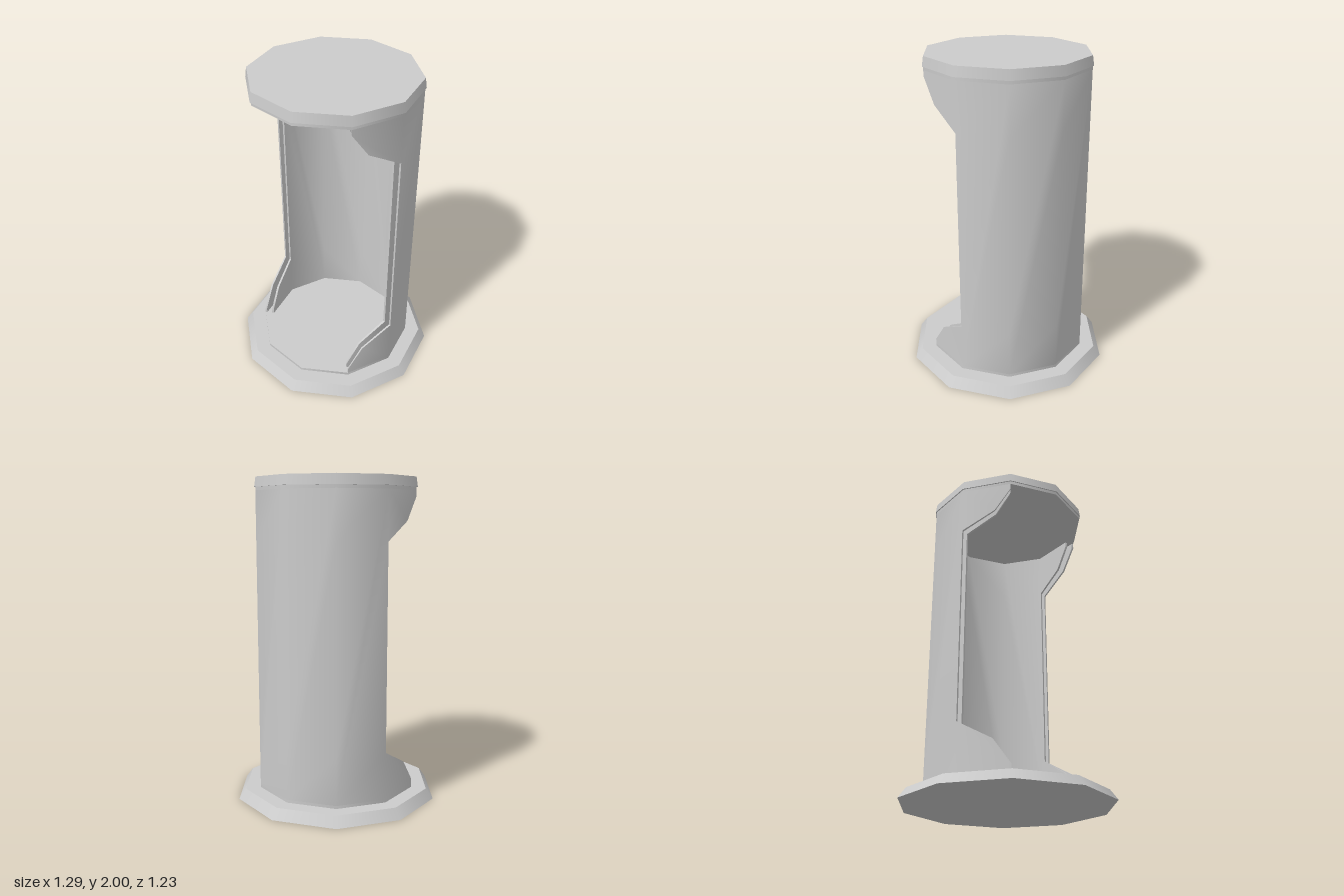
import * as THREE from 'three';
import { mergeGeometries, toCreasedNormals } from 'three/addons/utils/BufferGeometryUtils.js';

const SIDES = 10;
const STEP = (Math.PI * 2) / SIDES;
const BOTTOM = 0.08, TOP = 1.92;

export function createModel() {
  const group = new THREE.Group();
  const material = new THREE.MeshStandardMaterial({ color: 0xcccccc });

  const add = (name, geometry) => {
    const mesh = new THREE.Mesh(geometry, material);
    mesh.name = name;
    group.add(mesh);
  };

  // Ten-sided disc with a corner on the x axis
  const disc = (name, rTop, rBottom, y0, y1) => {
    const g = new THREE.CylinderGeometry(rTop, rBottom, y1 - y0, SIDES, 1, false, Math.PI / 2);
    add(name, g.translate(0, (y0 + y1) / 2, 0));
  };

  // Flat outline (t across one facet, y up), folded onto facet k with thickness rOut..rIn
  const panel = (outline, k, rOut, rIn) => {
    const shape = new THREE.Shape(outline.map(([t, y]) => new THREE.Vector2(t, y)));
    const g = new THREE.ExtrudeGeometry(shape, { depth: 1, bevelEnabled: false });
    const p = g.attributes.position;
    const a = k * STEP, b = (k + 1) * STEP;
    for (let i = 0; i < p.count; i++) {
      const t = p.getX(i);
      const r = THREE.MathUtils.lerp(rOut, rIn, p.getZ(i));
      p.setXYZ(i,
        r * THREE.MathUtils.lerp(Math.cos(a), Math.cos(b), t),
        p.getY(i),
        r * THREE.MathUtils.lerp(Math.sin(a), Math.sin(b), t));
    }
    return g;
  };

  // Back wall facet, split where the corner gussets meet it
  const wall = [
    [0, BOTTOM], [1, BOTTOM], [1, 0.375], [1, 1.625],
    [1, TOP], [0, TOP], [0, 1.625], [0, 0.375],
  ];
  // Angled corner gusset reaching forward from the wall edge
  const gusset = [[0, BOTTOM], [1, BOTTOM], [1, 0.115], [0.67, 0.26], [0, 0.375]];
  const flipY = (pts) => pts.map(([t, y]) => [t, 2 - y]);
  const flipT = (pts) => pts.map(([t, y]) => [1 - t, y]);

  // One thin skin: half-round back wall plus four gussets
  const skin = (name, rOut, rIn) => {
    const parts = [];
    for (let k = 5; k < 10; k++) parts.push(panel(wall, k, rOut, rIn));
    for (const pts of [gusset, flipY(gusset)]) {
      parts.push(panel(pts, 0, rOut, rIn));
      parts.push(panel(flipT(pts), 4, rOut, rIn));
    }
    add(name, toCreasedNormals(mergeGeometries(parts), 0.7));
  };

  disc('base', 0.6, 0.645, 0, 0.062);
  disc('floor', 0.505, 0.505, 0.062, BOTTOM);

  // Double-skinned wall, hollow between the skins
  skin('outerSkin', 0.505, 0.493);
  skin('innerSkin', 0.457, 0.443);

  disc('ceiling', 0.505, 0.505, TOP, 1.94);
  disc('cap', 0.503, 0.512, 1.94, 2);

  return group;
}
